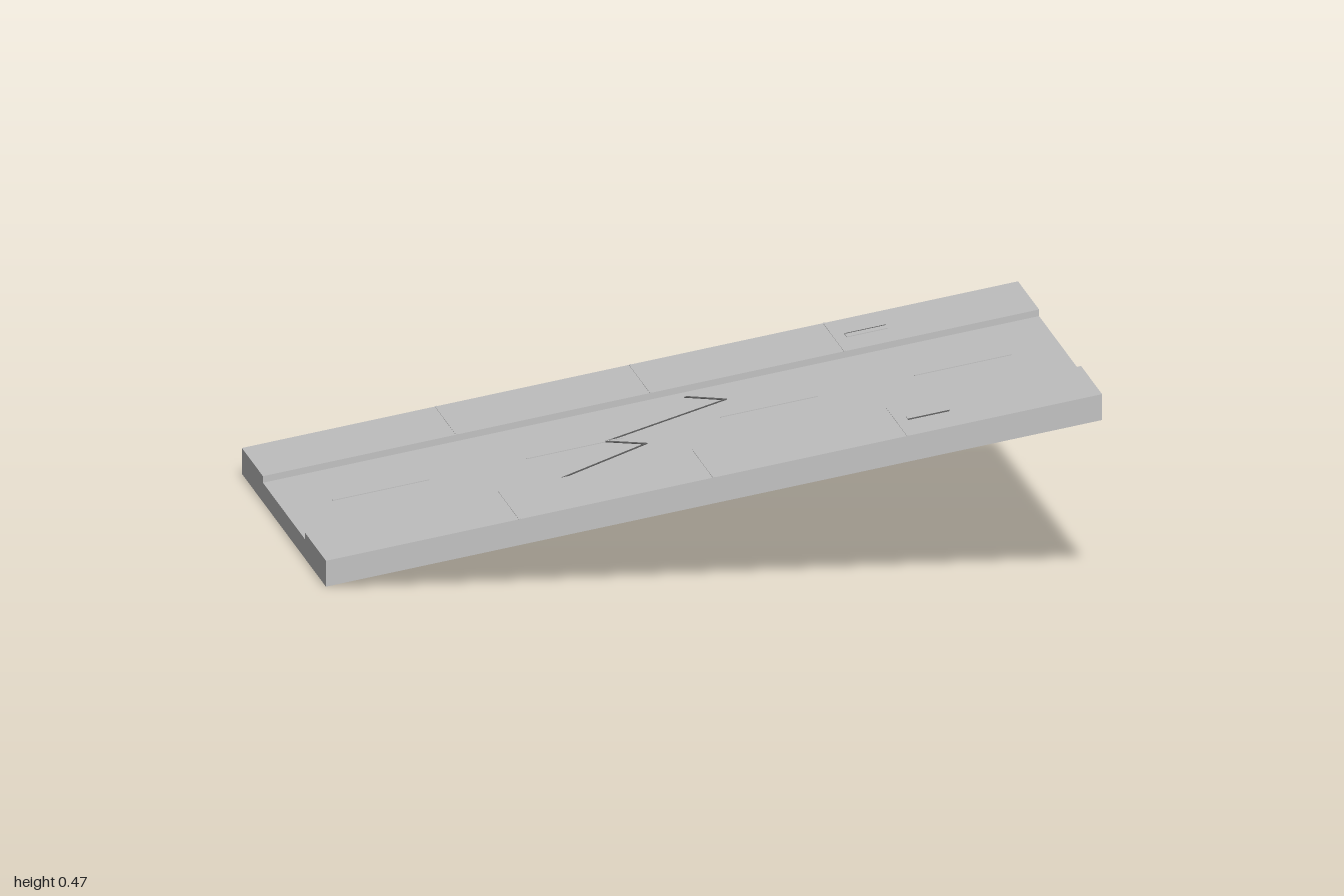
import * as THREE from 'three';

const SLOPE = 0.2;    // rise per unit of x
const ROAD = 0.05;    // road surface height above the sloped base
const WALK = 0.067;   // pavement height above the sloped base

export function createModel() {
  const concrete = new THREE.MeshStandardMaterial({ color: 0xc0c0c0 });
  concrete.name = 'concrete';
  const dark = new THREE.MeshStandardMaterial({ color: 0x606060 });
  dark.name = 'darkCrack';

  const model = new THREE.Group();
  model.name = 'slopedRoad';

  // Box standing on height y, turned about y, then sheared so its ends stay vertical
  function slab(name, [w, h, d], [x, y, z], material = concrete, turn = 0) {
    const geometry = new THREE.BoxGeometry(w, h, d);
    geometry.rotateY(turn);
    geometry.translate(x, y + h / 2, z);
    const p = geometry.attributes.position;
    for (let i = 0; i < p.count; i++) p.setY(i, p.getY(i) + SLOPE * (p.getX(i) + 1));
    geometry.computeVertexNormals();
    const mesh = new THREE.Mesh(geometry, material);
    mesh.name = name;
    model.add(mesh);
  }

  // Road bed and lane dashes
  slab('road', [2, ROAD, 1], [0, 0, 0]);
  for (const x of [-0.75, -0.25, 0.25, 0.75]) {
    slab('laneDash', [0.25, 0.002, 0.012], [x, ROAD, 0]);
  }

  // Raised pavements with joints and drain covers
  for (const side of [-1, 1]) {
    slab('pavement', [2, WALK, 0.5], [0, 0, side * 0.75]);
    for (const x of [-0.5, 0, 0.5]) {
      slab('pavementJoint', [0.006, 0.001, 0.5], [x, WALK, side * 0.75]);
    }
    slab('drainCover', [0.107, 0.002, 0.05], [0.58, WALK, side * 0.73]);
    slab('drainSlot', [0.107, 0.003, 0.005], [0.58, WALK, side * 0.757], dark);
  }

  // Zigzag crack across the road, as x, z points
  const crack = [[0.08, -0.42], [0.165, -0.25], [-0.17, 0], [-0.085, 0.165], [-0.335, 0.42]];
  for (let i = 1; i < crack.length; i++) {
    const [x0, z0] = crack[i - 1], [x1, z1] = crack[i];
    const length = Math.hypot(x1 - x0, z1 - z0);
    slab('crack', [length, 0.002, 0.009], [(x0 + x1) / 2, ROAD, (z0 + z1) / 2],
      dark, -Math.atan2(z1 - z0, x1 - x0));
  }

  return model;
}
